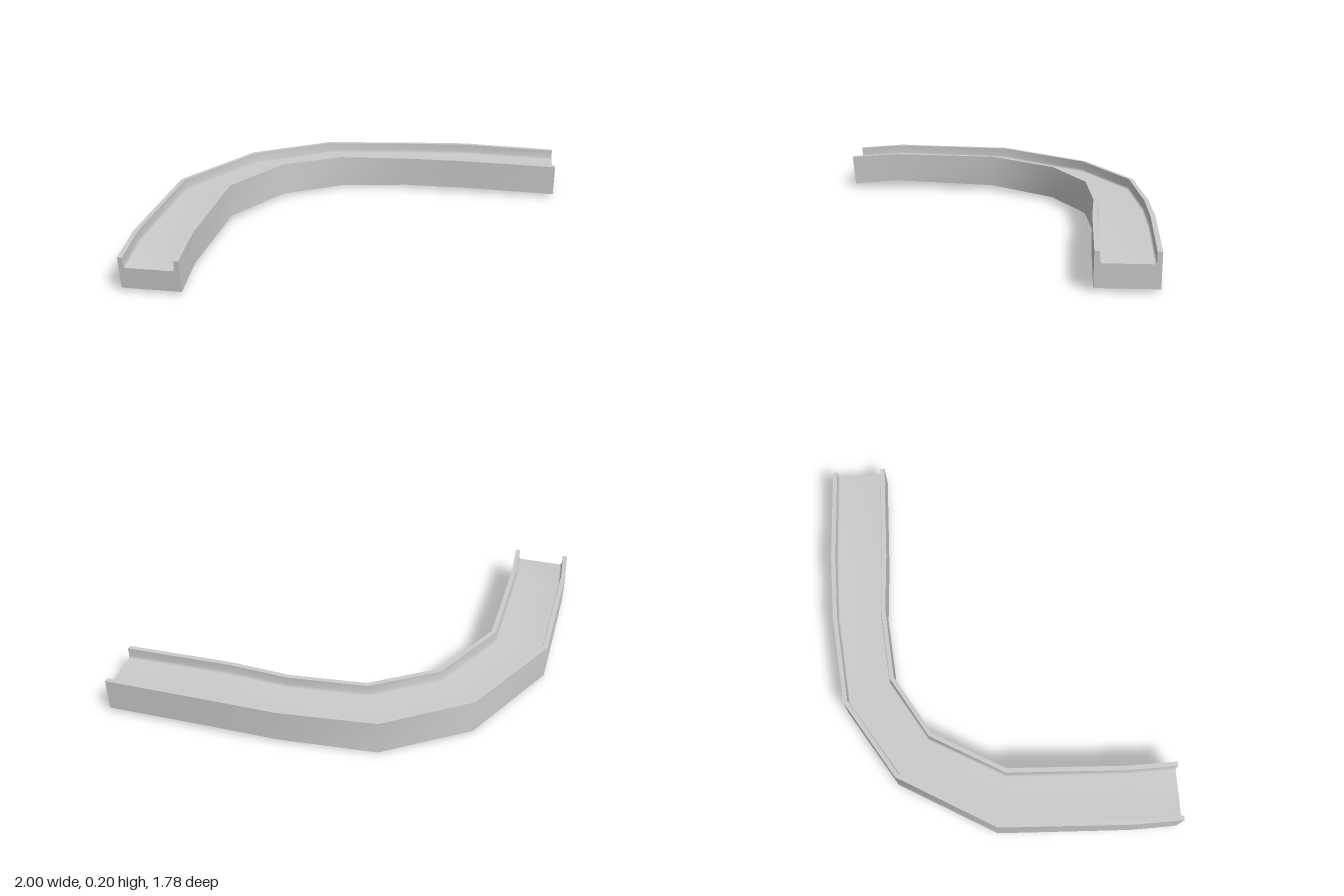
import * as THREE from 'three';

// Stations along the bend: outer x, z, base y, then inner x, z, base y, then height
const stations = [
  [-0.98, 0.875, 0.015, -0.69, 0.865, 0.015, 0.165],
  [-1.0, 0.64, 0.038, -0.71, 0.62, 0.038, 0.162],
  [-1.0, -0.02, 0.022, -0.71, 0.03, 0.026, 0.175],
  [-0.74, -0.52, 0.005, -0.52, -0.34, 0.013, 0.178],
  [-0.35, -0.79, 0.0, -0.22, -0.535, 0.008, 0.175],
  [0.12, -0.86, 0.015, 0.15, -0.585, 0.018, 0.163],
  [0.46, -0.88, 0.025, 0.46, -0.585, 0.025, 0.163],
  [0.975, -0.89, 0.015, 0.995, -0.605, 0.015, 0.165],
];

// Cross-section strips (u across from outer to inner, v up); each is smooth on its own
const T = 0.08;
const strips = {
  outerWall: [[0, 0], [0, 1]],
  outerRim: [[0, 1], [T, 1]],
  channel: [[T, 1], [T, 0.74], [0.11, 0.67], [0.89, 0.67], [1 - T, 0.74], [1 - T, 1]],
  innerRim: [[1 - T, 1], [1, 1]],
  innerWall: [[1, 1], [1, 0]],
  underside: [[1, 0], [0, 0]],
};

// Place a cross-section point at a station; the front end leans outwards slightly
function place(i, [u, v]) {
  const [ox, oz, oy, ix, iz, iy, h] = stations[i];
  const lerp = THREE.MathUtils.lerp;
  const lean = i === 0 ? 0.015 * v : 0;
  return [lerp(ox, ix, u), lerp(oy, iy, u) + h * v, lerp(oz, iz, u) + lean];
}

function makeMesh(name, positions, index) {
  const geometry = new THREE.BufferGeometry();
  geometry.setAttribute('position', new THREE.Float32BufferAttribute(positions, 3));
  geometry.setIndex(index);
  geometry.computeVertexNormals();
  const mesh = new THREE.Mesh(geometry, new THREE.MeshStandardMaterial({ color: 0xcccccc }));
  mesh.name = name;
  return mesh;
}

// Sweep one strip along all the stations
function sweep(name, profile) {
  const positions = [], index = [], n = profile.length;
  stations.forEach((_, i) => profile.forEach((p) => positions.push(...place(i, p))));
  for (let i = 0; i < stations.length - 1; i++) {
    for (let j = 0; j < n - 1; j++) {
      const a = i * n + j, c = a + n;
      index.push(a, a + 1, c, a + 1, c + 1, c);
    }
  }
  return makeMesh(name, positions, index);
}

// Close one end with the full cross-section
function cap(name, station, flip) {
  const outline = Object.values(strips).flatMap((s) => s.slice(0, -1)).reverse();
  const faces = THREE.ShapeUtils.triangulateShape(outline.map((p) => new THREE.Vector2(...p)), []);
  const index = faces.flatMap(([a, b, c]) => (flip ? [a, c, b] : [a, b, c]));
  return makeMesh(name, outline.flatMap((p) => place(station, p)), index);
}

export function createModel() {
  const group = new THREE.Group();
  group.name = 'curvedChannel';
  for (const [name, profile] of Object.entries(strips)) group.add(sweep(name, profile));
  group.add(cap('frontEnd', 0, false), cap('sideEnd', stations.length - 1, true));
  return group;
}
